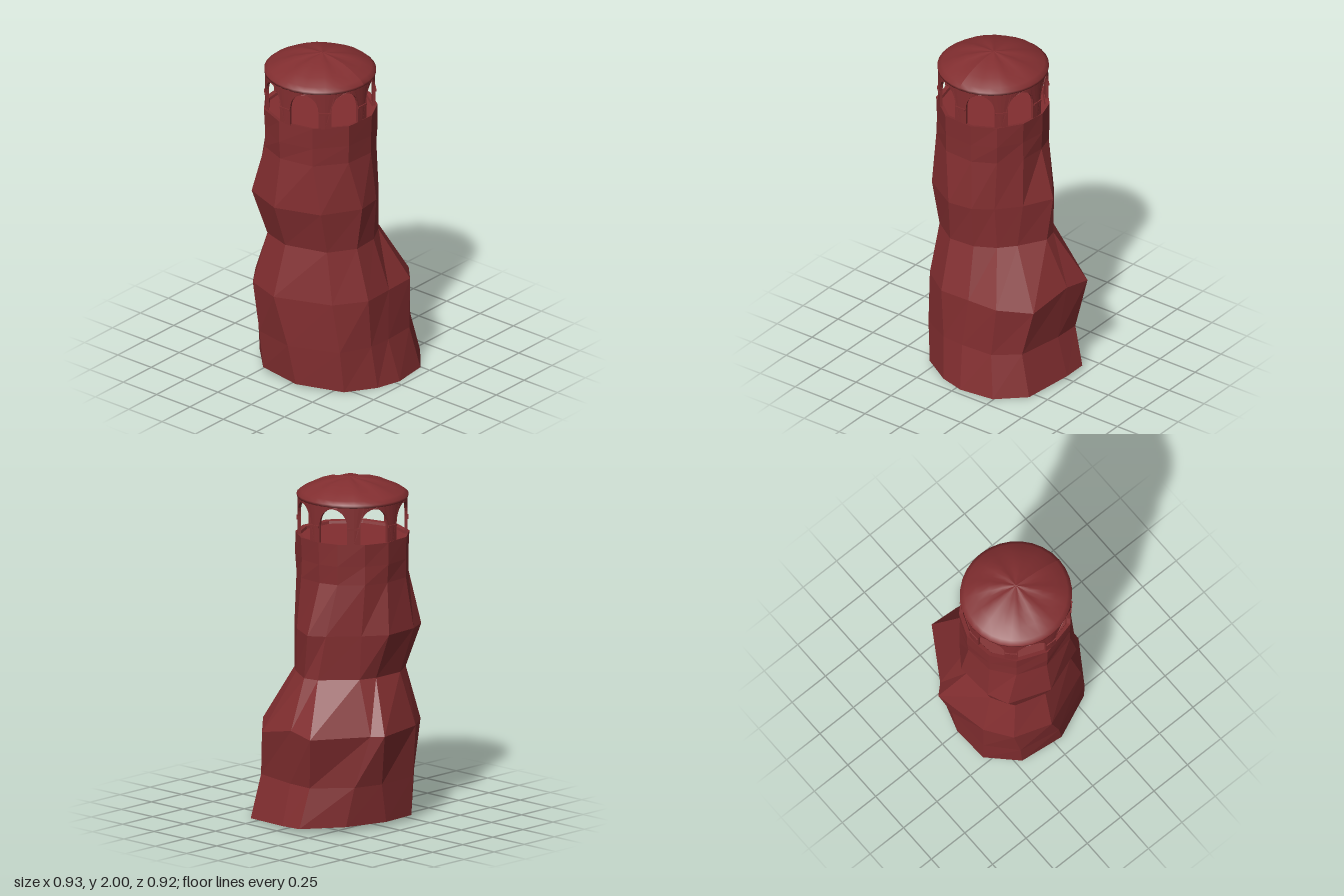
import * as THREE from 'three';

const CX = -0.097, CZ = -0.03; // centre of the upper tower
const SIDES = 12;

// Rough rock rings: height, then x,z of 12 corners from the front round by +x
const rockRings = [
  [0.02, [0.03, 0.46, 0.245, 0.435, 0.405, 0.3, 0.455, 0, 0.46, -0.14, 0.25, -0.31, 0, -0.39, -0.22, -0.38, -0.38, -0.22, -0.41, 0.05, -0.295, 0.315, -0.12, 0.42]],
  [0.26, [0, 0.4, 0.2, 0.39, 0.34, 0.28, 0.39, 0, 0.395, -0.16, 0.21, -0.34, 0.04, -0.395, -0.23, -0.385, -0.39, -0.24, -0.435, 0.01, -0.315, 0.3, -0.14, 0.39]],
  [0.56, [0.03, 0.38, 0.225, 0.375, 0.385, 0.23, 0.425, -0.04, 0.445, -0.21, 0.14, -0.4, 0.085, -0.46, -0.24, -0.395, -0.39, -0.29, -0.465, -0.07, -0.335, 0.26, -0.16, 0.385]],
  [0.87, [0, 0.29, 0.12, 0.225, 0.2, 0.135, 0.295, -0.02, 0.275, -0.11, 0.1, -0.275, 0, -0.31, -0.2, -0.31, -0.33, -0.23, -0.385, -0.05, -0.31, 0.2, -0.16, 0.3]],
  [1.13, [0, 0.31, 0.11, 0.235, 0.22, 0.11, 0.31, -0.06, 0.25, -0.15, 0.1, -0.29, -0.03, -0.385, -0.25, -0.37, -0.37, -0.315, -0.46, -0.07, -0.365, 0.2, -0.15, 0.33]],
];

// Corner directions of the upper tower, in degrees from the front
const upperAngles = [14, 41, 69, 97, 118, 146, 172, 203, 231, 264, 302, 340];

// Ring of the upper tower with optional roughness
function upperRing(y, rx, rz, rough = 0) {
  return upperAngles.map((deg, i) => {
    const a = THREE.MathUtils.degToRad(deg);
    const k = 1 + rough * Math.sin(i * 2.3 + y * 20);
    return [CX + Math.sin(a) * rx * k, y, CZ + Math.cos(a) * rz * k];
  });
}

// Loft between rings, closed at the bottom and top
function towerGeometry() {
  const rings = rockRings.map(([y, p], r) => Array.from({ length: SIDES }, (_, i) => {
    const x = p[i * 2], z = p[i * 2 + 1];
    return [x, r === 0 ? THREE.MathUtils.clamp(y - z * 0.045, 0, 0.03) : y, z];
  }));
  rings.push(
    upperRing(1.43, 0.322, 0.327, 0.012),
    upperRing(1.54, 0.324, 0.329, 0.012),
    upperRing(1.67, 0.327, 0.332),
    upperRing(1.665, 0.303, 0.308),
    upperRing(1.65, 0.298, 0.303),
  );
  // Front right and right corners of the bulge sit at uneven heights
  rings[2][2][1] = 0.525;
  rings[2][3][1] = 0.585;
  const pos = rings.flat(2), idx = [];
  for (let r = 0; r < rings.length - 1; r++) {
    for (let i = 0; i < SIDES; i++) {
      const a = r * SIDES + i, b = r * SIDES + (i + 1) % SIDES;
      idx.push(a, b, b + SIDES, a, b + SIDES, a + SIDES);
    }
  }
  const bottom = pos.length / 3, top = bottom + 1, last = (rings.length - 1) * SIDES;
  pos.push(0, 0.02, 0, CX, 1.65, CZ);
  for (let i = 0; i < SIDES; i++) {
    const j = (i + 1) % SIDES;
    idx.push(bottom, j, i, top, last + i, last + j);
  }
  const g = new THREE.BufferGeometry();
  g.setAttribute('position', new THREE.Float32BufferAttribute(pos, 3));
  g.setIndex(idx);
  const flat = g.toNonIndexed();
  flat.computeVertexNormals();
  return flat;
}

// One arch bay, drawn flat and then bent round the tower
function archGeometry(radius) {
  const half = (Math.PI / 8) * radius, w = 0.086, spring = 0.11, rise = 0.1, top = 0.235;
  const s = new THREE.Shape();
  s.moveTo(-half, 0);
  s.lineTo(-w, 0);
  s.lineTo(-w, spring);
  for (let i = 1; i <= 12; i++) {
    const a = Math.PI * (1 - i / 12);
    s.lineTo(Math.cos(a) * w, spring + Math.sin(a) * rise);
  }
  s.lineTo(w, 0);
  s.lineTo(half, 0);
  for (let i = 0; i <= 8; i++) s.lineTo(half * (1 - i / 4), top);
  s.closePath();
  const g = new THREE.ExtrudeGeometry(s, { depth: 0.016, bevelEnabled: false });
  const p = g.attributes.position;
  for (let i = 0; i < p.count; i++) {
    const a = p.getX(i) / radius, r = radius - 0.016 + p.getZ(i);
    p.setXYZ(i, Math.sin(a) * r, p.getY(i), Math.cos(a) * r);
  }
  g.computeVertexNormals();
  return g;
}

export function createModel() {
  const model = new THREE.Group();
  const stone = new THREE.MeshStandardMaterial({ color: 0x822e30, side: THREE.DoubleSide });
  stone.name = 'red stone';
  const add = (parent, name, geometry) => {
    const m = new THREE.Mesh(geometry, stone);
    m.name = name;
    parent.add(m);
    return m;
  };

  add(model, 'towerBody', towerGeometry());

  // Ring of eight arches with small bands on the pillars
  const arcade = new THREE.Group();
  arcade.name = 'arcade';
  arcade.position.set(CX, 1.665, CZ);
  model.add(arcade);
  const arch = archGeometry(0.317);
  const band = new THREE.BoxGeometry(0.07, 0.012, 0.022);
  for (let i = 0; i < 8; i++) {
    add(arcade, 'arch', arch).rotation.y = ((i + 0.5) * Math.PI) / 4;
    const a = (i * Math.PI) / 4;
    const b = add(arcade, 'pillarBand', band);
    b.position.set(Math.sin(a) * 0.311, 0.095, Math.cos(a) * 0.311);
    b.rotation.y = a;
  }

  // Shallow domed roof with a slightly offset peak and faint radial creases
  const profile = [[0.3, 1.885], [0.318, 1.885], [0.32, 1.902], [0.295, 1.922], [0.23, 1.952], [0.155, 1.976], [0.08, 1.99], [0, 2]]
    .map(([r, y]) => new THREE.Vector2(r, y));
  const roof = new THREE.LatheGeometry(profile, 32);
  const p = roof.attributes.position;
  for (let i = 0; i < p.count; i++) {
    const x = p.getX(i), z = p.getZ(i), t = 1 - Math.hypot(x, z) / 0.32;
    const crease = 0.02 * Math.max(0, t) * (1 - t) * Math.cos(8 * Math.atan2(x, z));
    p.setXYZ(i, x + 0.012 * t, p.getY(i) + crease, z * 1.015 + 0.01 * t);
  }
  roof.computeVertexNormals();
  add(model, 'roof', roof).position.set(CX, 0, CZ);
  return model;
}
